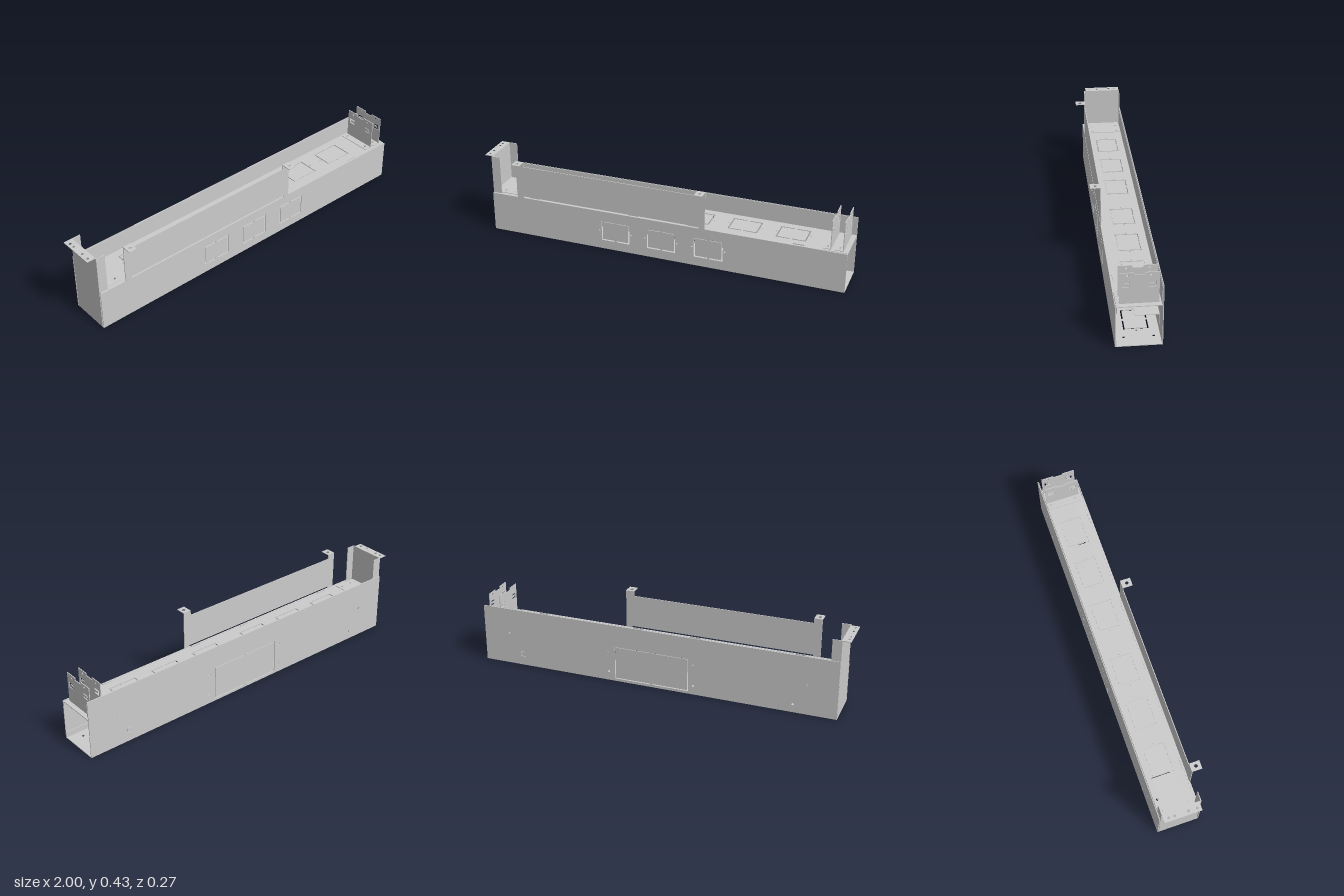
import * as THREE from 'three';

const T = 0.004; // sheet thickness
const mat = new THREE.MeshStandardMaterial({ color: 0xcccccc, side: THREE.DoubleSide });

// Each plane maps outline (u, v) and the sheet normal n to model axes
const X = new THREE.Vector3(1, 0, 0), Y = new THREE.Vector3(0, 1, 0), Z = new THREE.Vector3(0, 0, 1);
const planes = {
  front: [X, Y, Z],                 // u = x, v = y
  flat: [X, Z, Y.clone().negate()], // u = x, v = z
  side: [Z, Y, X.clone().negate()], // u = z, v = y
};

const points = (list) => list.map(([u, v]) => new THREE.Vector2(u, v));
const rect = (u0, u1, v0, v1) => [[u0, v0], [u1, v0], [u1, v1], [u0, v1]];
const round = (u, v, r = 0.007) => Array.from({ length: 14 }, (_, i) => {
  const a = (i / 14) * Math.PI * 2;
  return [u + r * Math.cos(a), v + r * Math.sin(a)];
});

// C-shaped slot: spine at u0, arms reaching to u1
function cSlot(u0, u1, v0, v1, g) {
  const s = Math.sign(u1 - u0) * g;
  return [[u0, v0], [u1, v0], [u1, v0 + g], [u0 + s, v0 + g],
    [u0 + s, v1 - g], [u1, v1 - g], [u1, v1], [u0, v1]];
}

// Knockout: two facing C slots leaving a narrow bridge above and below
function knockout(u0, u1, v0, v1, g = 0.007) {
  const m = (u0 + u1) / 2, b = 0.006;
  return [cSlot(u0, m - b, v0, v1, g), cSlot(u1, m + b, v0, v1, g)];
}

// Cable knockout with a small hole at either side
function window_(u0, u1, v0, v1) {
  const m = (v0 + v1) / 2;
  return [...knockout(u0, u1, v0, v1), round(u0 - 0.01, m, 0.004), round(u1 + 0.01, m, 0.004)];
}

// Flat sheet with cutouts, centred on the given offset along its normal axis
function sheet(parent, name, plane, at, outline, holes = [], t = T) {
  const shape = new THREE.Shape(points(outline));
  holes.forEach((h) => shape.holes.push(new THREE.Path(points(h))));
  const geo = new THREE.ExtrudeGeometry(shape, { depth: t, bevelEnabled: false });
  geo.translate(0, 0, -t / 2);
  geo.applyMatrix4(new THREE.Matrix4().makeBasis(...planes[plane]));
  const mesh = new THREE.Mesh(geo, mat);
  mesh.name = name;
  mesh.position[{ front: 'z', flat: 'y', side: 'x' }[plane]] = at;
  parent.add(mesh);
  return mesh;
}

function subgroup(parent, name) {
  const g = new THREE.Group();
  g.name = name;
  parent.add(g);
  return g;
}

export function createModel() {
  const model = new THREE.Group();
  model.name = 'sheetMetalChannel';

  // Long box channel, open at the +x end
  const body = subgroup(model, 'channelBody');
  const L = -0.957, R = 1;
  sheet(body, 'frontWall', 'front', 0.085, rect(L, R, 0, 0.218),
    [-0.237, 0.02, 0.28].flatMap((x) => window_(x - 0.079, x + 0.079, 0.05, 0.165)));
  sheet(body, 'backWall', 'front', -0.133, rect(L, R, 0, 0.318), [
    ...knockout(-0.173, 0.235, 0.014, 0.2, 0.005),
    ...[[0.85, 0.18], [-0.8, 0.17], [-0.73, 0.045], [0.27, 0.17], [-0.2, 0.17], [-0.2, 0.05], [0.27, 0.05]]
      .map(([x, y]) => round(x, y, 0.006)),
    cSlot(0.79, 0.765, 0.05, 0.08, 0.005),
  ]);
  sheet(body, 'floor', 'flat', 0.002, rect(L, R, -0.133, 0.085),
    [-0.76, 0.79].flatMap((x) => window_(x - 0.08, x + 0.08, -0.085, 0.035))
      .concat([-0.9, 0.93].flatMap((x) => [round(x, -0.1), round(x, 0.04)]), [round(0.02, -0.025)]));
  const topHoles = [-0.65, -0.393, -0.14, 0.18, 0.44, 0.695]
    .flatMap((x) => window_(x - 0.079, x + 0.079, -0.09, 0.028));
  for (const x of [-0.904, -0.84, 0.888, 0.952])
    for (const z of [-0.1, 0.038]) topHoles.push(round(x, z));
  sheet(body, 'topPlate', 'flat', 0.216, rect(L, R, -0.13, 0.077), topHoles);

  // Folded hems and inner lips
  sheet(body, 'frontHemLip', 'front', 0.079, rect(-0.95, R, 0.185, 0.216));
  sheet(body, 'frontHemTop', 'flat', 0.217, rect(-0.95, 0.88, 0.076, 0.087));
  sheet(body, 'backHem', 'front', -0.128, rect(L, R, 0.22, 0.316), [], 0.002);
  for (const [a, b] of [[-0.95, -0.85], [0.88, 0.998]])
    sheet(body, 'floorLip', 'front', 0.081, rect(a, b, 0.002, 0.034));
  for (const x of [-0.71, -0.14, 0.19, 0.75])
    sheet(body, 'hookTab', 'front', 0.074, rect(x - 0.028, x + 0.028, 0.205, 0.224));

  // Shelf fixed inside the back wall
  const shelf = subgroup(body, 'innerShelf');
  sheet(shelf, 'shelfPlate', 'flat', 0.099, rect(0.38, 0.9, -0.131, -0.017), [], 0.003);
  sheet(shelf, 'shelfFlange', 'front', -0.129, rect(0.38, 0.9, 0.045, 0.099), [], 0.003);

  // Tall end bracket closing the -x end
  const end = subgroup(model, 'endBracket');
  sheet(end, 'endPlate', 'side', -0.955, rect(-0.128, 0.077, 0, 0.43));
  for (const z of [0.075, -0.126])
    sheet(end, 'endSideFlange', 'front', z, rect(-0.956, -0.908, 0.218, 0.43));
  sheet(end, 'endTopFlange', 'flat', 0.428, rect(-1, -0.953, -0.128, 0.066),
    [-0.1, -0.07, 0.0, 0.045].map((z) => round(-0.982, z)));
  sheet(end, 'endFoot', 'flat', 0.2205, rect(-0.955, -0.82, -0.12, 0.066),
    [-0.904, -0.84].flatMap((x) => [round(x, -0.1), round(x, 0.038)]), 0.003);

  // Upright fascia on the front edge, held by a foot at each end
  const fascia = subgroup(model, 'fascia');
  sheet(fascia, 'fasciaPlate', 'front', 0.085, [
    [-0.805, 0.216], [-0.77, 0.216], [-0.77, 0.228], [0.225, 0.228], [0.225, 0.216], [0.258, 0.216],
    [0.258, 0.43], [0.213, 0.43], [0.213, 0.403], [-0.764, 0.403], [-0.764, 0.43], [-0.808, 0.43],
    [-0.808, 0.23],
  ]);
  for (const x of [-0.786, 0.236])
    sheet(fascia, 'fasciaTab', 'flat', 0.428, rect(x - 0.022, x + 0.022, 0.084, 0.137), [round(x, 0.112, 0.009)]);

  // Pair of slotted coupling plates near the +x end
  for (const x of [0.91, 0.973]) {
    const bracket = subgroup(model, 'couplingBracket');
    sheet(bracket, 'couplingPlate', 'side', x, [
      [-0.117, 0.218], [0.066, 0.218], [0.066, 0.379], [-0.001, 0.379],
      [-0.001, 0.367], [-0.05, 0.367], [-0.05, 0.379], [-0.117, 0.379],
    ], [
      round(0.028, 0.365, 0.005), round(-0.079, 0.365, 0.005),
      cSlot(0.052, 0.018, 0.303, 0.332, 0.009), cSlot(-0.103, -0.069, 0.303, 0.332, 0.009),
    ]);
    sheet(bracket, 'couplingFoot', 'flat', 0.2205, rect(x - 0.042, x, -0.117, 0.066),
      [round(x - 0.021, -0.1), round(x - 0.021, 0.038)], 0.003);
  }
  return model;
}
